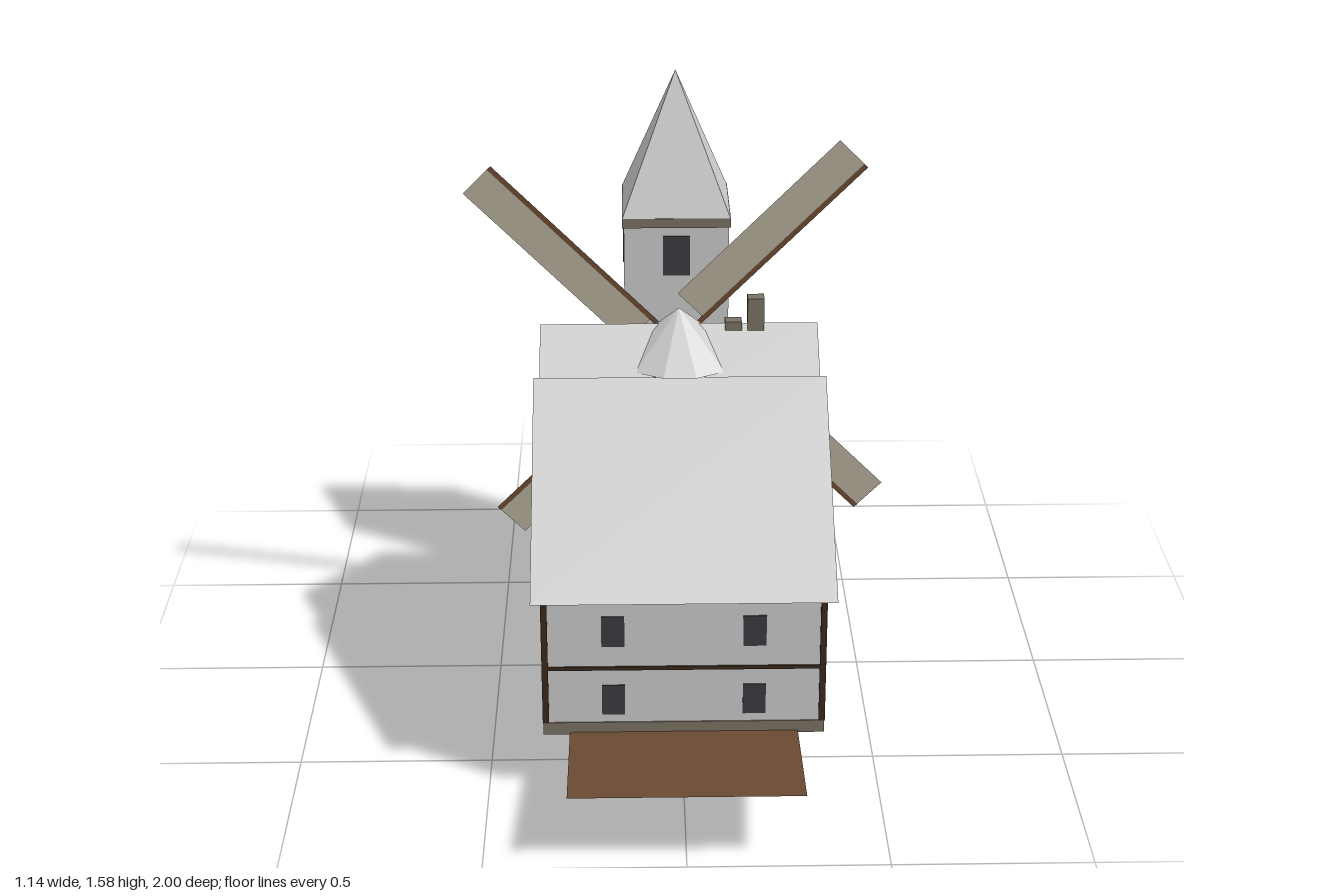
import * as THREE from 'three';

const mat = (color, side = THREE.FrontSide) => new THREE.MeshStandardMaterial({ color, side, flatShading: true });
const GREY = mat(0xcccccc), GREY2 = mat(0xcccccc, THREE.DoubleSide);
const STONE = mat(0x7a7264), TIMBER = mat(0x3a2a1c), GLASS = mat(0x3a3c40);
const WOOD = mat(0x6b4a32), WOOD2 = mat(0x6b4a32, THREE.DoubleSide), CLOTH = mat(0xb3ad98, THREE.DoubleSide);

export function createModel() {
  const model = new THREE.Group();
  const add = (name, geo, material) => {
    const mesh = new THREE.Mesh(geo, material);
    mesh.name = name;
    model.add(mesh);
    return mesh;
  };
  // box given by its min and max on each axis
  const box = (name, m, x0, x1, y0, y1, z0, z1) =>
    add(name, new THREE.BoxGeometry(x1 - x0, y1 - y0, z1 - z0)
      .translate((x0 + x1) / 2, (y0 + y1) / 2, (z0 + z1) / 2), m);
  // thin sloping sheet, straight along x
  const sheet = (name, m, hx, ya, za, yb, zb) => {
    const geo = new THREE.PlaneGeometry(2 * hx, Math.hypot(yb - ya, zb - za));
    geo.rotateX(Math.atan2(zb - za, yb - ya));
    return add(name, geo.translate(0, (ya + yb) / 2, (za + zb) / 2), m);
  };
  // gabled body with its ridge along x
  const gable = (name, hx, z0, z1, y0, eave, ridge) => {
    const zm = (z0 + z1) / 2;
    const s = new THREE.Shape([[z0, y0], [z1, y0], [z1, eave], [zm, ridge], [z0, eave]]
      .map(([z, y]) => new THREE.Vector2(z, y)));
    const geo = new THREE.ExtrudeGeometry(s, { depth: 2 * hx, bevelEnabled: false });
    add(name, geo.translate(0, 0, -hx).rotateY(-Math.PI / 2), GREY);
  };

  // sloping ground board and trestle
  sheet('groundBoard', WOOD2, 0.29, 0.04, -1, 0.2, 1);
  for (const x of [-0.19, 0.19]) {
    for (const z of [-0.325, 0, 0.325]) box('trestlePost', WOOD, x - 0.007, x + 0.007, 0, 0.15, z - 0.007, z + 0.007);
    box('trestleBeam', WOOD, x - 0.007, x + 0.007, 0.15, 0.167, -0.332, 0.332);
  }

  // house and the taller mill loft
  box('base', STONE, -0.357, 0.357, 0.166, 0.2, -0.358, 0.648);
  gable('house', 0.352, -0.355, 0.645, 0.19, 0.55, 0.905);
  gable('loft', 0.348, -0.354, 0.354, 0.2, 0.745, 1.005);
  sheet('houseRoofFront', GREY2, 0.382, 0.55, 0.672, 0.937, 0.145);
  sheet('houseRoofBack', GREY2, 0.382, 0.55, -0.382, 0.937, 0.145);
  for (const s of [-1, 1]) sheet('loftRoof', GREY2, 0.367, 0.74, s * 0.385, 1.03, 0);

  // timber framing
  box('belt', TIMBER, -0.356, 0.356, 0.351, 0.361, -0.359, 0.649);
  for (const s of [-1, 1]) {
    const x = s * 0.35;
    box('frontPost', TIMBER, x - 0.008, x + 0.008, 0.2, 0.55, 0.635, 0.65);
    box('backPost', TIMBER, x - 0.008, x + 0.008, 0.2, 0.745, -0.36, -0.345);
  }

  // windows
  const paneZ = (x, y, z, w = 0.058, h = 0.085) => box('window', GLASS, x - w / 2, x + w / 2, y - h / 2, y + h / 2, z - 0.003, z + 0.003);
  const paneX = (x, y, z, w = 0.058, h = 0.085) => box('window', GLASS, x - 0.003, x + 0.003, y - h / 2, y + h / 2, z - w / 2, z + w / 2);
  for (const s of [-1, 1]) {
    for (const y of [0.265, 0.46]) {
      paneZ(s * 0.178, y, 0.645);
      for (const z of [0.4, -0.1]) paneX(s * 0.352, y, z);
    }
    for (const y of [0.265, 0.46, 0.65]) paneZ(s * 0.26, y, -0.355);
    paneX(s * 0.348, 0.652, -0.265);
    // tower windows
    paneZ(0, 1.09, -0.5 + s * 0.145, 0.075, 0.115);
    paneX(s * 0.145, 1.09, -0.5, 0.075, 0.115);
  }

  // tower with pyramid roof
  box('tower', GREY, -0.145, 0.145, 0.166, 1.19, -0.645, -0.355);
  box('towerCornice', STONE, -0.15, 0.15, 1.173, 1.2, -0.65, -0.35);
  add('towerRoof', new THREE.ConeGeometry(0.149 * Math.SQRT2, 0.38, 4).rotateY(Math.PI / 4)
    .translate(0, 1.39, -0.5), GREY);

  // rear porch
  box('porchFloor', GREY, -0.25, 0.25, 0.166, 0.2, -0.44, -0.355);
  box('porchWall', STONE, -0.27, 0.27, 0.166, 0.615, -0.465, -0.436);
  for (const s of [-1, 1]) box('porchSide', STONE, s * 0.26 - 0.013, s * 0.26 + 0.013, 0.166, 0.325, -0.456, -0.355);

  // mill cap and chimneys
  add('capDrum', new THREE.CylinderGeometry(0.152, 0.152, 0.06, 12).rotateY(Math.PI / 12).translate(0, 0.91, 0), STONE);
  add('capRoof', new THREE.ConeGeometry(0.166, 0.136, 12).rotateY(Math.PI / 12).translate(0, 1.007, 0), GREY);
  box('shortChimney', STONE, 0.122, 0.166, 0.9, 1.04, -0.019, 0.019);
  box('tallChimney', STONE, 0.181, 0.225, 0.9, 1.105, -0.019, 0.019);

  // four flat sails
  for (let i = 0; i < 4; i++) {
    const sail = new THREE.Group();
    sail.name = 'sail';
    const cloth = new THREE.Mesh(new THREE.PlaneGeometry(0.607, 0.1).translate(0.4035, 0.05, 0), CLOTH);
    cloth.name = 'sailCloth';
    const spar = new THREE.Mesh(new THREE.PlaneGeometry(0.707, 0.014).translate(0.3535, 0, 0.001), WOOD2);
    spar.name = 'sailSpar';
    sail.add(cloth, spar);
    sail.position.set(0, 0.91, -0.165);
    sail.rotation.z = Math.PI / 4 + i * Math.PI / 2;
    model.add(sail);
  }
  return model;
}
